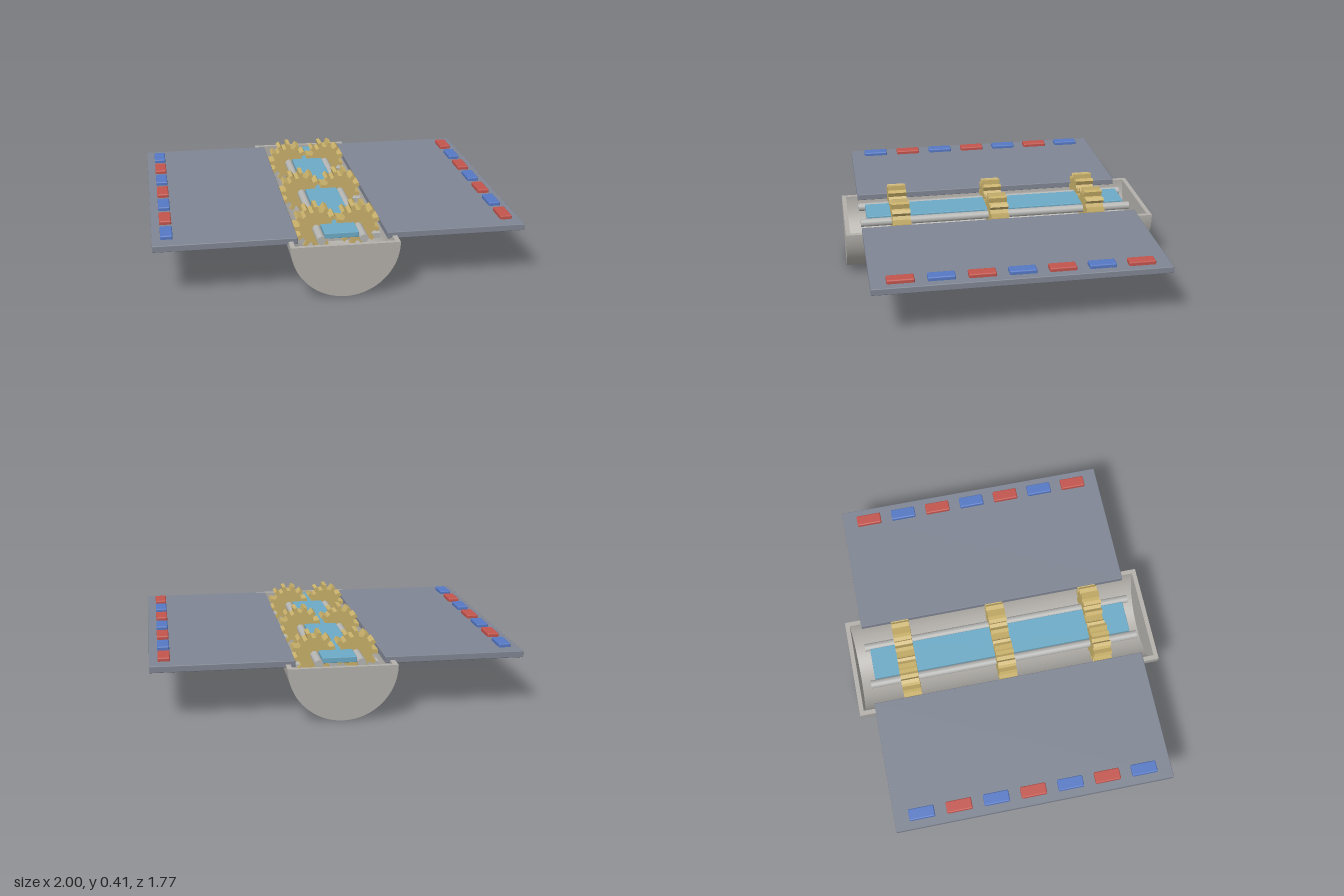
import * as THREE from 'three';
import { RoundedBoxGeometry } from 'three/addons/geometries/RoundedBoxGeometry.js';

const mat = (name, color) => {
  const m = new THREE.MeshStandardMaterial({ color });
  m.name = name;
  return m;
};

export function createModel() {
  const shell = mat('shell grey', 0xb3b0ab);
  const steel = mat('shaft grey', 0xb5b5b3);
  const slate = mat('panel slate', 0x7f8593);
  const brass = mat('gear brass', 0xc8b06a);
  const water = mat('tray blue', 0x6caac6);
  const blue = mat('marker blue', 0x5578c4);
  const red = mat('marker red', 0xc2544d);

  const model = new THREE.Group();
  model.name = 'gearTrough';
  const add = (name, geometry, material, x, y, z, parent = model) => {
    const mesh = new THREE.Mesh(geometry, material);
    mesh.name = name;
    mesh.position.set(x, y, z);
    parent.add(mesh);
    return mesh;
  };
  // Extrusion centred on z
  const extrude = (shape, depth) => new THREE.ExtrudeGeometry(shape, {
    depth, bevelEnabled: false, curveSegments: 32,
  }).translate(0, 0, -depth / 2);

  // Half-round trough with closed ends
  const R = 0.292, inner = 0.266, halfLength = 0.885, cap = 0.025;
  const wall = new THREE.Shape();
  wall.absarc(0, 0, R, Math.PI, Math.PI * 2, false);
  wall.absarc(0, 0, inner, Math.PI * 2, Math.PI, true);
  wall.closePath();
  add('troughWall', extrude(wall, 2 * (halfLength - cap)), shell, 0, R, 0);
  const end = new THREE.Shape();
  end.absarc(0, 0, R, Math.PI, Math.PI * 2, false);
  end.closePath();
  for (const s of [-1, 1]) {
    add('troughEnd', extrude(end, cap), shell, 0, R, s * (halfLength - cap / 2));
  }

  // Side panels with alternating markers along the outer edges
  const panelGeometry = new RoundedBoxGeometry(0.76, 0.036, 1.585, 1, 0.004);
  const markerGeometry = new RoundedBoxGeometry(0.065, 0.03, 0.145, 2, 0.007);
  for (const s of [-1, 1]) {
    add('sidePanel', panelGeometry, slate, s * 0.62, 0.293, 0);
    for (let i = 0; i < 7; i++) {
      const isBlue = (i % 2 === 0) === (s < 0);
      add('marker', markerGeometry, isBlue ? blue : red, s * 0.922, 0.317, (i - 3) * 0.212);
    }
  }

  // Gear outline with tapered teeth, starting with a tooth at angle zero
  const teeth = 12, root = 0.09, tip = 0.12;
  const outline = new THREE.Shape();
  for (let i = 0; i < teeth; i++) {
    const a = i / teeth * Math.PI * 2;
    for (const [r, da] of [[root, -0.14], [tip, -0.09], [tip, 0.09], [root, 0.14]]) {
      const x = r * Math.cos(a + da), y = r * Math.sin(a + da);
      if (i === 0 && da === -0.14) outline.moveTo(x, y);
      else outline.lineTo(x, y);
    }
  }
  outline.closePath();
  const gearGeometry = extrude(outline, 0.104);
  const shaftGeometry = new THREE.CylinderGeometry(0.023, 0.023, 1.585, 20).rotateX(Math.PI / 2);
  const axisY = 0.29;

  // Paired shafts carrying meshed gears
  for (const s of [-1, 1]) {
    add('shaft', shaftGeometry, steel, s * 0.115, axisY - 0.005, 0);
    for (const z of [-0.564, 0, 0.564]) {
      const gear = add('gear', gearGeometry, brass, s * 0.116, axisY, z);
      if (s > 0) gear.rotation.z = Math.PI / teeth;
    }
  }

  // Cross supports below the gears
  for (const z of [-0.564, 0, 0.564]) {
    add('crossSupport', new THREE.BoxGeometry(0.49, 0.03, 0.07), steel, 0, 0.215, z);
  }

  // Long tray between the shafts
  add('tray', new RoundedBoxGeometry(0.186, 0.03, 1.52, 1, 0.003), water, 0, 0.295, -0.004);

  return model;
}
